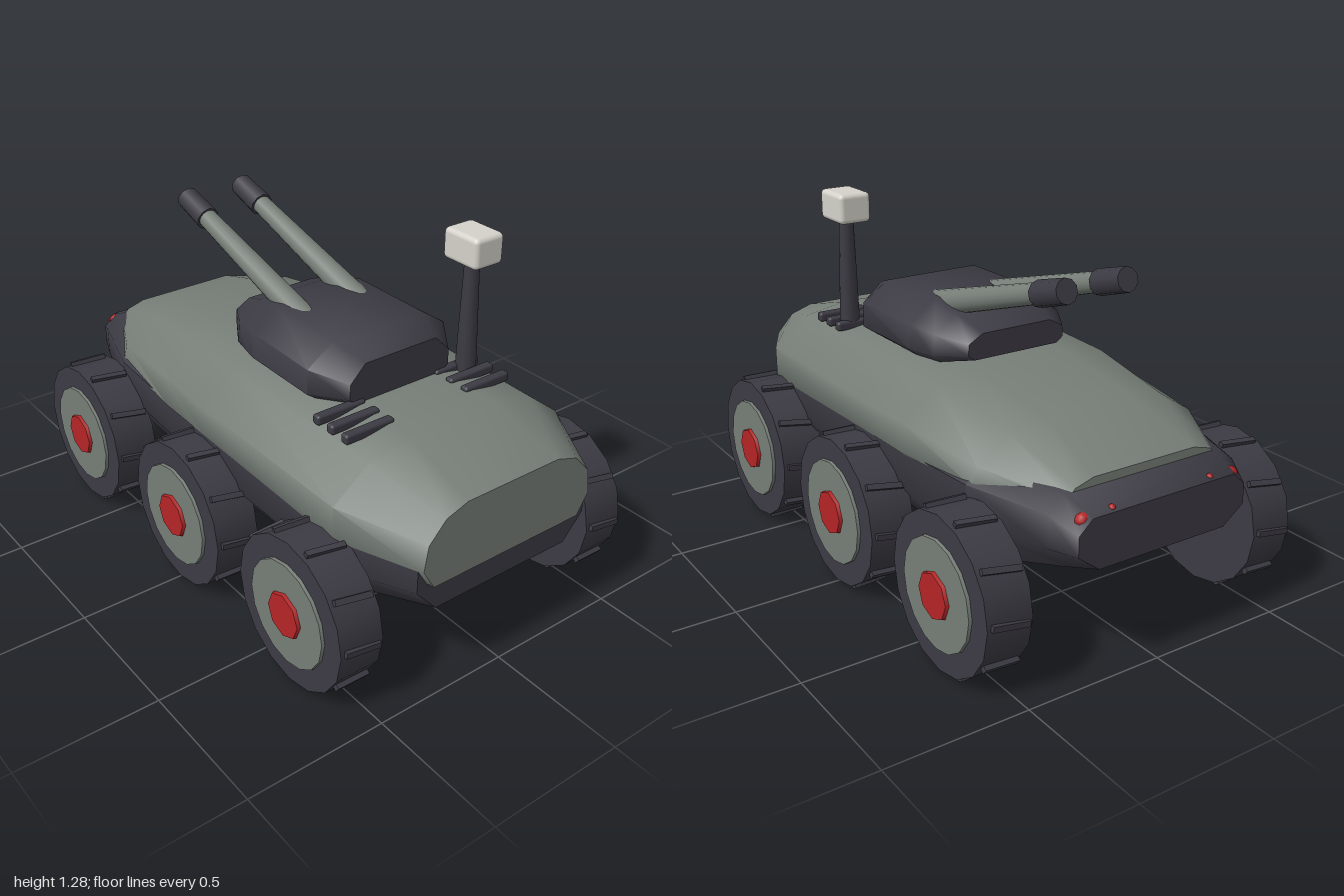
import * as THREE from 'three';
import { toCreasedNormals } from 'three/addons/utils/BufferGeometryUtils.js';
import { RoundedBoxGeometry } from 'three/addons/geometries/RoundedBoxGeometry.js';

const material = (name, color) => {
  const m = new THREE.MeshStandardMaterial({ color });
  m.name = name;
  return m;
};

// Mirrored cross-sections, front to back. Each is [z, [x, y] ...] from bottom to top of the left half.
function loft(sections) {
  const pos = [], index = [], n = (sections[0].length - 1) * 2;
  for (const [z, ...half] of sections) {
    for (const [x, y] of half) pos.push(x, y, z);
    for (const [x, y] of [...half].reverse()) pos.push(-x, y, z);
  }
  const last = (sections.length - 1) * n;
  for (let i = 0; i < last; i += n) {
    for (let j = 0; j < n; j++) {
      const a = i + j, b = i + (j + 1) % n;
      index.push(a, a + n, b, b, a + n, b + n);
    }
  }
  for (let j = 1; j < n - 1; j++) {
    index.push(0, j, j + 1, last, last + j + 1, last + j);
  }
  const g = new THREE.BufferGeometry();
  g.setAttribute('position', new THREE.Float32BufferAttribute(pos, 3));
  g.setIndex(index);
  return toCreasedNormals(g, 0.95);
}

// Round bar running between two points
function rod(from, to, r0, r1, sides) {
  const a = new THREE.Vector3(...from), b = new THREE.Vector3(...to);
  const dir = b.clone().sub(a);
  const g = new THREE.CylinderGeometry(r1, r0, dir.length(), sides);
  g.applyQuaternion(new THREE.Quaternion().setFromUnitVectors(new THREE.Vector3(0, 1, 0), dir.normalize()));
  const c = a.add(b).multiplyScalar(0.5);
  return g.translate(c.x, c.y, c.z);
}

export function createModel() {
  const model = new THREE.Group();
  model.name = 'armouredRover';
  const grey = material('hull grey', 0x767e77);
  const dark = material('dark trim', 0x3c3a43);
  const red = material('red', 0xb42426);
  const white = material('off white', 0xd4d2ca);

  const add = (name, geometry, mat, parent = model) => {
    const mesh = new THREE.Mesh(geometry, mat);
    mesh.name = name;
    parent.add(mesh);
    return mesh;
  };

  // Hull shells
  add('upperHull', loft([
    [1, [0.31, 0.445], [0.355, 0.52], [0.34, 0.61], [0.275, 0.68], [0.19, 0.708]],
    [0.72, [0.4, 0.46], [0.48, 0.53], [0.48, 0.65], [0.34, 0.757], [0.18, 0.785]],
    [0, [0.4, 0.48], [0.49, 0.56], [0.485, 0.66], [0.35, 0.765], [0.18, 0.793]],
    [-0.25, [0.4, 0.48], [0.485, 0.56], [0.475, 0.66], [0.345, 0.76], [0.18, 0.788]],
    [-0.62, [0.38, 0.5], [0.45, 0.57], [0.435, 0.635], [0.31, 0.715], [0.17, 0.74]],
    [-0.9, [0.24, 0.52], [0.3, 0.575], [0.3, 0.6], [0.27, 0.63], [0.2, 0.65]],
  ]), grey);
  add('lowerHull', loft([
    [0.98, [0.28, 0.34], [0.36, 0.43], [0.36, 0.515], [0.3, 0.54]],
    [0.72, [0.38, 0.3], [0.475, 0.42], [0.48, 0.53], [0.4, 0.58]],
    [0, [0.39, 0.3], [0.485, 0.43], [0.49, 0.56], [0.4, 0.6]],
    [-0.6, [0.38, 0.3], [0.455, 0.43], [0.462, 0.575], [0.39, 0.63]],
    [-0.9, [0.29, 0.375], [0.37, 0.46], [0.37, 0.57], [0.31, 0.62]],
    [-1, [0.25, 0.4], [0.33, 0.46], [0.33, 0.53], [0.28, 0.575]],
  ]), dark);

  // Turret
  add('turret', loft([
    [0.46, [0.18, 0.785], [0.212, 0.81], [0.21, 0.865], [0.15, 0.925]],
    [0.34, [0.26, 0.78], [0.295, 0.805], [0.293, 0.895], [0.19, 0.965]],
    [0.02, [0.26, 0.78], [0.29, 0.805], [0.283, 0.895], [0.18, 0.972]],
    [-0.1, [0.24, 0.785], [0.268, 0.81], [0.26, 0.885], [0.17, 0.945]],
    [-0.215, [0.17, 0.81], [0.198, 0.83], [0.195, 0.87], [0.14, 0.9]],
  ]), dark);

  // Twin barrels, vents and tail lights on both sides
  for (const s of [-1, 1]) {
    const x = 0.12 * s;
    add('barrel', rod([x, 0.923, 0.11], [x, 1.112, -0.52], 0.048, 0.035, 16), grey);
    add('muzzle', rod([x, 1.106, -0.505], [x, 1.147, -0.643], 0.045, 0.042, 10), dark);
    for (const z of [0.455, 0.527, 0.6]) {
      add('vent', new RoundedBoxGeometry(0.195, 0.035, 0.034, 2, 0.01).translate(0.25 * s, 0.782, z), dark);
    }
    add('tailLight', new THREE.SphereGeometry(1, 10, 8).scale(0.033, 0.025, 0.022)
      .translate(0.29 * s, 0.562, -0.968), red);
    add('smallTailLight', new THREE.SphereGeometry(0.012, 8, 6).translate(0.195 * s, 0.58, -0.98), red);
  }

  // Sensor mast
  add('mast', rod([0.28, 0.76, 0.475], [0.28, 1.19, 0.475], 0.038, 0.026, 12), dark);
  add('sensorHead', new RoundedBoxGeometry(0.125, 0.11, 0.16, 2, 0.018).translate(0.28, 1.23, 0.475), white);

  // Six wheels, each with slanted treads
  for (const s of [-1, 1]) {
    for (const z of [0.67, 0, -0.68]) {
      const wheel = new THREE.Group();
      wheel.name = 'wheel';
      wheel.position.set(0, 0.28, z);
      model.add(wheel);
      add('tire', rod([0.452 * s, 0, 0], [0.614 * s, 0, 0], 0.268, 0.268, 16), dark, wheel);
      add('hub', rod([0.6 * s, 0, 0], [0.625 * s, 0, 0], 0.19, 0.187, 16), grey, wheel);
      add('hubCap', rod([0.61 * s, 0, 0], [0.637 * s, 0, 0], 0.084, 0.078, 8), red, wheel);
      for (let i = 0; i < 10; i++) {
        const tread = new THREE.BoxGeometry(0.135, 0.02, 0.025)
          .rotateZ(-0.17).translate(0.533 * s, 0, 0.267).rotateX(i * Math.PI / 5);
        add('tread', tread, dark, wheel);
      }
      add('axle', rod([0.33 * s, 0.12, 0], [0.48 * s, 0.03, 0], 0.05, 0.05, 12), grey, wheel);
    }
  }
  return model;
}
